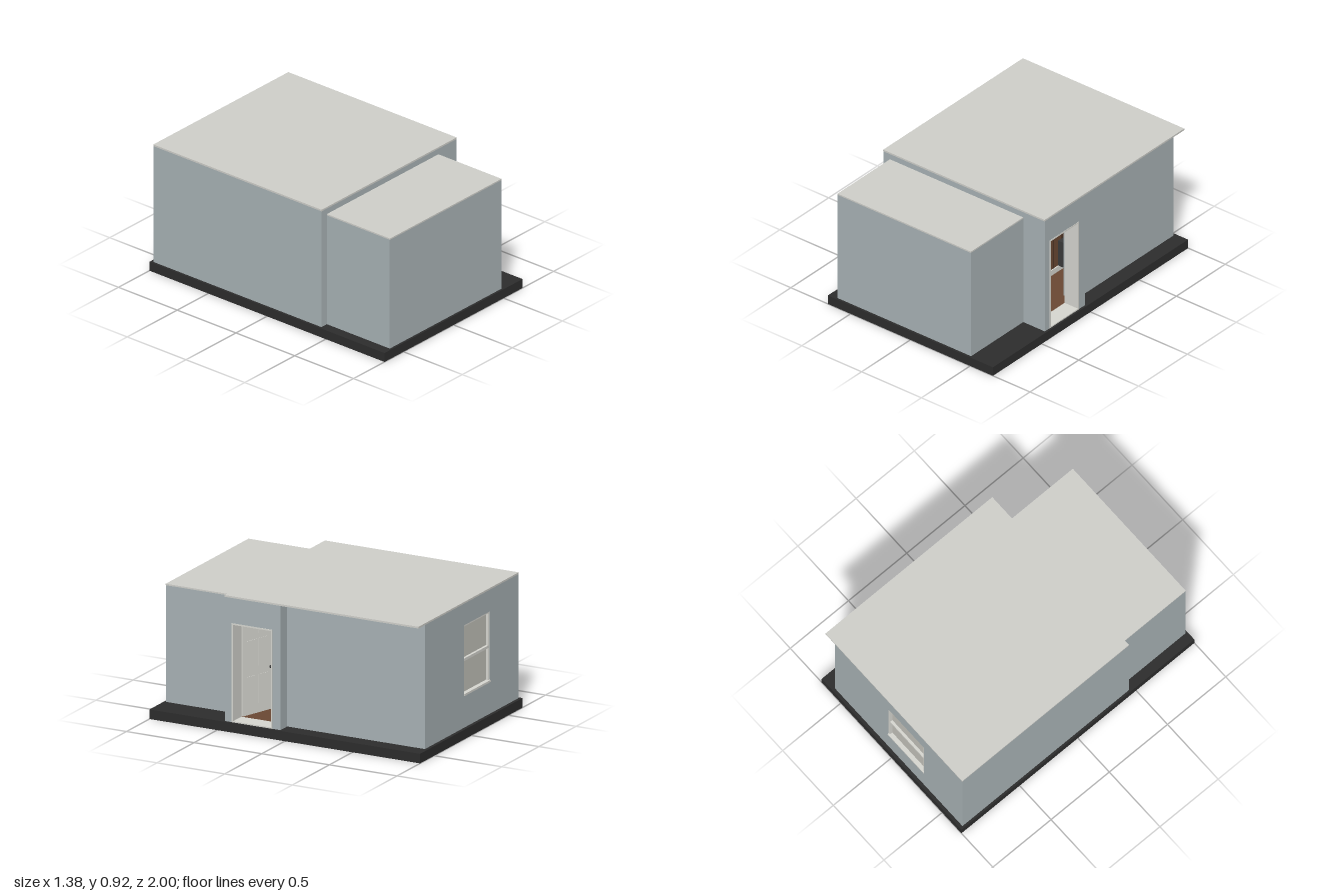
import * as THREE from 'three';

const mat = (name, color) => {
  const m = new THREE.MeshStandardMaterial({ color });
  m.name = name;
  return m;
};

export function createModel() {
  const M = {
    wall: mat('blue grey wall', 0xa8b2b5),
    roof: mat('pale roof', 0xcfcfca),
    base: mat('dark foundation', 0x2d2d2d),
    wood: mat('brown wood', 0x6a4833),
    groove: mat('dark groove', 0x38261c),
    white: mat('off white trim', 0xd6d6d0),
    pane: mat('window blind', 0xc4c3bb),
    metal: mat('dark metal', 0x3a3a3a),
  };
  const house = new THREE.Group();
  house.name = 'house';

  // Box from its lower and upper limits on each axis
  const box = (name, m, x0, x1, y0, y1, z0, z1, parent = house) => {
    const mesh = new THREE.Mesh(new THREE.BoxGeometry(x1 - x0, y1 - y0, z1 - z0), m);
    mesh.position.set((x0 + x1) / 2, (y0 + y1) / 2, (z0 + z1) / 2);
    mesh.name = name;
    parent.add(mesh);
    return mesh;
  };
  const rect = (Type, x0, x1, y0, y1) => {
    const s = new Type();
    s.moveTo(x0, y0).lineTo(x1, y0).lineTo(x1, y1).lineTo(x0, y1).closePath();
    return s;
  };
  // Wall slab with one rectangular opening
  const openWall = (name, outer, hole, depth) => {
    const s = rect(THREE.Shape, ...outer);
    s.holes.push(rect(THREE.Path, ...hole));
    const mesh = new THREE.Mesh(new THREE.ExtrudeGeometry(s, { depth, bevelEnabled: false }), M.wall);
    mesh.name = name;
    house.add(mesh);
    return mesh;
  };

  const G = 0.065, TOP = 0.908;
  box('foundation', M.base, -0.69, 0.69, 0, G, -1, 1);

  // Main walls; the rear right wall stands back under the roof
  box('leftWall', M.wall, -0.675, -0.585, G, TOP, -0.978, 0.45);
  box('frontWall', M.wall, -0.585, 0.565, G, TOP, 0.405, 0.45);
  box('rearRightWall', M.wall, 0.495, 0.585, G, TOP, -0.888, 0.04);
  openWall('backWall', [-0.585, 0.585, G, TOP], [-0.295, 0.06, 0.28, 0.76], 0.09).position.z = -0.978;
  const doorWall = openWall('doorWall', [-0.45, -0.04, G, TOP], [-0.395, -0.105, G + 0.005, 0.735], 0.11);
  doorWall.rotation.y = Math.PI / 2;
  doorWall.position.x = 0.565;
  box('mainRoof', M.roof, -0.675, 0.675, TOP, 0.92, -0.98, 0.452);

  // Lower front block
  box('frontBlock', M.wall, -0.62, 0.495, G, 0.857, 0.45, 0.985);
  box('frontBlockRoof', M.roof, -0.62, 0.495, 0.857, 0.867, 0.45, 0.987);

  // Panelled hall behind the door
  const hall = new THREE.Group();
  hall.name = 'hall';
  house.add(hall);
  box('hallWall', M.wood, 0.26, 0.28, G, TOP, -0.888, 0.405, hall);
  box('hallFrontWall', M.wood, 0.28, 0.565, G, TOP, 0.398, 0.405, hall);
  box('hallFloor', M.wood, 0.28, 0.565, G, 0.071, -0.888, 0.398, hall);
  box('baseboard', M.white, 0.28, 0.288, 0.071, 0.11, -0.888, 0.398, hall);
  for (const z of [0.31, 0.25, 0.225, 0.16, 0.13, 0.06, -0.03, -0.12, -0.21])
    box('wallGroove', M.groove, 0.28, 0.282, 0.11, TOP, z - 0.003, z + 0.003, hall);
  for (let x = 0.32; x < 0.56; x += 0.06)
    box('frontWallGroove', M.groove, x - 0.003, x + 0.003, G, TOP, 0.396, 0.398, hall);
  for (const y of [0.457, 0.15])
    box('wallPlate', M.white, 0.28, 0.287, y, y + 0.045, 0.163, 0.21, hall);
  box('darkCabinet', M.metal, 0.28, 0.33, 0.11, 0.3, -0.3, -0.17, hall);

  // Door frame lining
  const frame = new THREE.Group();
  frame.name = 'doorFrame';
  house.add(frame);
  box('rearJamb', M.white, 0.563, 0.677, G, 0.735, 0.1, 0.11, frame);
  box('frontJamb', M.white, 0.563, 0.677, G, 0.735, 0.39, 0.4, frame);
  box('doorHead', M.white, 0.563, 0.677, 0.727, 0.737, 0.1, 0.4, frame);
  box('threshold', M.white, 0.563, 0.677, G, 0.073, 0.11, 0.39, frame);

  // Open door, hinged on the front jamb and swung inward
  const door = new THREE.Group();
  door.name = 'door';
  door.position.set(0.565, 0, 0.376);
  door.rotation.y = 1.26;
  house.add(door);
  const W = 0.255;
  box('doorLeaf', M.white, -0.018, 0, 0.076, 0.725, -W, 0, door);
  for (const [y0, y1] of [[0.14, 0.335], [0.395, 0.58], [0.615, 0.69]])
    for (const z of [-0.118, -0.222])
      for (const x of [-0.021, 0])
        box('doorPanel', M.white, x, x + 0.003, y0, y1, z, z + 0.085, door);
  for (const x of [-0.03, 0.012]) {
    const knob = new THREE.Mesh(new THREE.SphereGeometry(0.011, 16, 10), M.metal);
    knob.name = 'doorKnob';
    knob.position.set(x, 0.368, -W + 0.018);
    door.add(knob);
  }

  // Back sash window, set into the wall
  const win = new THREE.Group();
  win.name = 'backWindow';
  house.add(win);
  const [x0, x1, y0, y1] = [-0.295, 0.06, 0.28, 0.76], mid = 0.52;
  box('windowPane', M.pane, x0, x1, y0, y1, -0.952, -0.944, win);
  for (const [a, b] of [[x0, x0 + 0.012], [x1 - 0.012, x1]])
    box('windowStile', M.white, a, b, y0, y1, -0.972, -0.952, win);
  box('windowHead', M.white, x0, x1, y1 - 0.012, y1, -0.972, -0.952, win);
  box('meetingRail', M.white, x0, x1, mid - 0.009, mid + 0.009, -0.97, -0.952, win);
  box('windowSill', M.white, x0, x1, y0, y0 + 0.014, -0.982, -0.952, win);

  return house;
}
